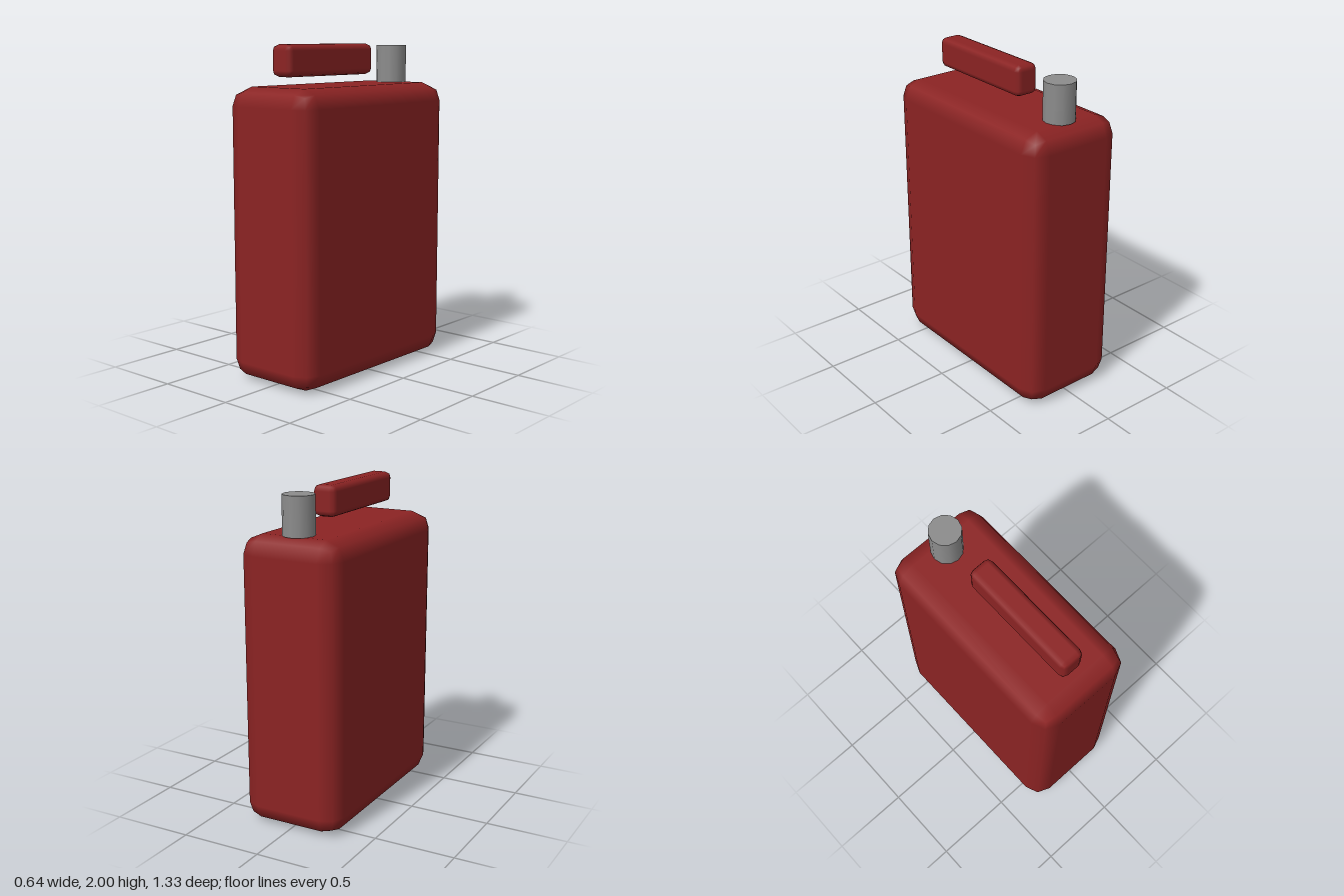
import * as THREE from 'three';
import { RoundedBoxGeometry } from 'three/addons/geometries/RoundedBoxGeometry.js';

export function createModel() {
  const model = new THREE.Group();
  model.name = 'fuelCan';

  const redPaint = new THREE.MeshStandardMaterial({ name: 'redPaint', color: 0x8b2323 });
  const greyMetal = new THREE.MeshStandardMaterial({ name: 'greyMetal', color: 0x8c8c8c });

  const add = (name, geometry, material, y, z) => {
    const mesh = new THREE.Mesh(geometry, material);
    mesh.name = name;
    mesh.position.set(0, y, z);
    model.add(mesh);
  };

  const bodyHeight = 1.755;

  // Tank with coarse rounded edges
  add('body', new RoundedBoxGeometry(0.642, bodyHeight, 1.332, 1, 0.113), redPaint, bodyHeight / 2, 0);

  // Carrying bar floating above the tank
  add('handle', new RoundedBoxGeometry(0.15, 0.187, 0.757, 1, 0.036), redPaint, 1.9065, 0.153);

  // Filler spout at the back
  add('spout', new THREE.CylinderGeometry(0.095, 0.095, 0.235, 12), greyMetal, 1.8705, -0.498);

  return model;
}
